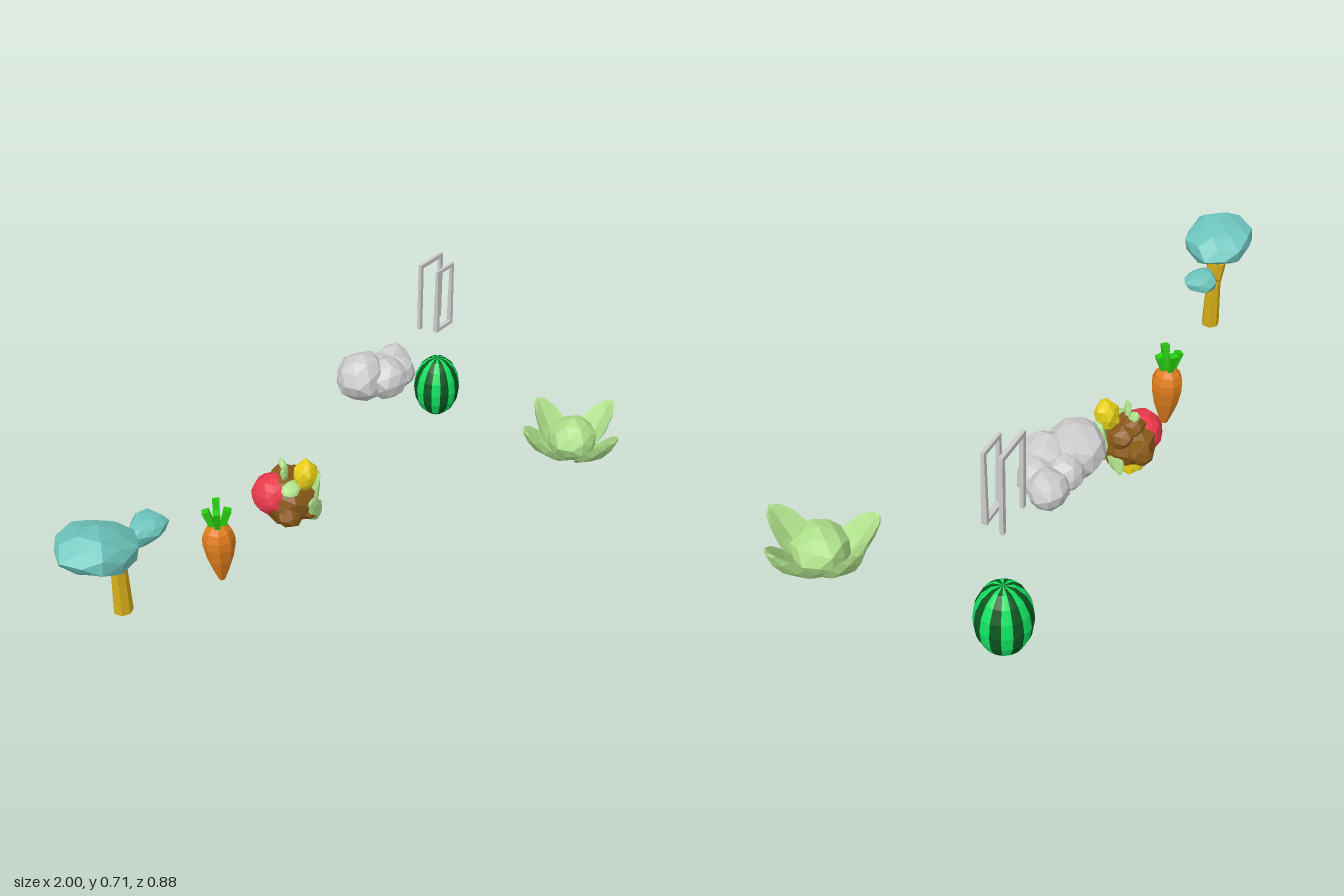
import * as THREE from 'three';

const V = (x, y, z) => new THREE.Vector3(x, y, z);
const mat = color => new THREE.MeshStandardMaterial({ color, flatShading: true, roughness: 0.9 });
const TEAL = mat(0x6cc4bc), BARK = mat(0xd4ac18), ORANGE = mat(0xe07d1c), SPROUT = mat(0x28cc10);
const RED = mat(0xe8384a), YELLOW = mat(0xe8d018), BROWN = mat(0x8a5a18), LETTUCE = mat(0xaee08a);
const RIND = mat(0x12e060), STRIPE = mat(0x0b5520), GREY = mat(0xcccccc);

function add(parent, name, geo, material, pos = [0, 0, 0], rot = [0, 0, 0]) {
  const mesh = new THREE.Mesh(geo, material);
  mesh.name = name;
  mesh.position.set(...pos);
  mesh.rotation.set(...rot);
  parent.add(mesh);
  return mesh;
}

function group(parent, name, x = 0, y = 0, z = 0) {
  const g = new THREE.Group();
  g.name = name;
  g.position.set(x, y, z);
  parent.add(g);
  return g;
}

// Move every vertex of a geometry by a rule
function warp(geo, rule) {
  const p = geo.attributes.position, v = V(0, 0, 0);
  for (let i = 0; i < p.count; i++) {
    v.fromBufferAttribute(p, i);
    rule(v);
    p.setXYZ(i, v.x, v.y, v.z);
  }
  geo.computeVertexNormals();
  return geo;
}

// Irregular faceted lump; the jitter depends only on position so seams stay closed
function lump(rx, ry, rz, seed = 0, rough = 0.14, detail = 1) {
  return warp(new THREE.IcosahedronGeometry(1, detail), v => {
    const h = Math.sin(v.x * 12.9 + v.y * 37.7 + v.z * 23.3 + seed * 7.1) * rough;
    v.multiplyScalar(1 - rough * 0.4 + h);
    v.set(v.x * rx, v.y * ry, v.z * rz);
  });
}

// Tapered limb between two points
function limb(parent, name, a, b, r0, r1, material, sides = 6) {
  const d = b.clone().sub(a);
  const mesh = add(parent, name, new THREE.CylinderGeometry(r1, r0, d.length(), sides), material);
  mesh.position.copy(a).addScaledVector(d, 0.5);
  mesh.quaternion.setFromUnitVectors(V(0, 1, 0), d.normalize());
}

// Thick, cupped, pointed leaf that rises outward along +x from the plant's centre
function cuppedLeaf(r0, r1, y0, y1, width, thick, cup) {
  const n = V(y0 - y1, r1 - r0, 0).normalize();
  return warp(new THREE.SphereGeometry(1, 8, 6), v => {
    const t = (v.y + 1) / 2, w = v.x;
    const off = v.z * thick + cup * w * w - 0.02 * Math.sin(Math.PI * t);
    v.set(r0 + (r1 - r0) * t + n.x * off, y0 + (y1 - y0) * t + n.y * off, w * width * (1.15 - 0.35 * t));
  });
}

function tree(root) {
  const g = group(root, 'tree', 0, 0, -0.345);
  limb(g, 'trunk', V(-0.79, 0.16, 0), V(-0.785, 0.34, 0), 0.031, 0.025, BARK, 7);
  limb(g, 'trunkFork', V(-0.785, 0.33, 0), V(-0.8, 0.41, 0), 0.025, 0.034, BARK, 7);
  limb(g, 'branch', V(-0.785, 0.352, 0), V(-0.69, 0.39, 0.002), 0.024, 0.015, BARK);
  add(g, 'largeCanopy', lump(0.132, 0.072, 0.12, 2, 0.08), TEAL, [-0.869, 0.463, 0.021], [0, 0, -0.2]);
  const small = warp(lump(0.076, 0.042, 0.071, 5, 0.07), v => { v.z *= 0.75 + v.x * 7; });
  add(g, 'smallCanopy', small, TEAL, [-0.679, 0.402, 0.008], [0, 0.15, 0.17]);
}

function carrot(root) {
  const g = group(root, 'carrot', -0.37, 0, -0.345);
  const profile = [[0, 0], [0.011, 0.002], [0.026, 0.04], [0.044, 0.095], [0.054, 0.15],
    [0.053, 0.18], [0.043, 0.208], [0.026, 0.226], [0, 0.226]].map(p => new THREE.Vector2(...p));
  add(g, 'carrotRoot', new THREE.LatheGeometry(profile, 8), ORANGE);
  for (let i = 0; i < 4; i++) {
    const a = Math.PI / 4 + i * Math.PI / 2, c = Math.cos(a), s = Math.sin(a);
    limb(g, 'carrotTop', V(c * 0.014, 0.215, s * 0.014), V(c * 0.036, 0.285 + (i % 2) * 0.017, s * 0.036),
      0.012, 0.017, SPROUT, 4);
  }
}

function foodPile(root) {
  const g = group(root, 'foodPile');
  add(g, 'pileCore', lump(0.092, 0.1, 0.102, 3, 0.08), BROWN, [-0.045, 0.15, -0.34]);
  add(g, 'tomato', lump(0.074, 0.074, 0.074, 1, 0.03, 2), RED, [-0.081, 0.172, -0.366]);
  add(g, 'upperYellowPiece', lump(0.042, 0.064, 0.042, 4, 0.1), YELLOW, [-0.018, 0.25, -0.277], [0.2, 0, -0.1]);
  add(g, 'lowerYellowPiece', lump(0.05, 0.046, 0.05, 6, 0.08), YELLOW, [-0.02, 0.093, -0.36]);
  // Brown chunks around the core
  [[0.008, 0.16, -0.398], [-0.02, 0.12, -0.275], [-0.09, 0.12, -0.29], [0.008, 0.2, -0.34], [-0.03, 0.22, -0.36]]
    .forEach((p, i) => add(g, 'brownChunk', lump(0.042, 0.045, 0.045, i, 0.1), BROWN, p));
  // Salad leaves: position, half sizes, rotation
  [[[0.022, 0.17, -0.275], [0.018, 0.085, 0.035], [0.1, -0.5, -0.1]],
    [[-0.01, 0.12, -0.245], [0.035, 0.065, 0.014], [0.15, 0, 0.4]],
    [[0.03, 0.13, -0.33], [0.014, 0.06, 0.03], [0.4, 0, 0.2]],
    [[-0.06, 0.255, -0.33], [0.022, 0.035, 0.012], [0, 0.5, 0.4]],
    [[-0.03, 0.255, -0.36], [0.02, 0.035, 0.014], [-0.4, 0.9, -0.3]],
    [[-0.075, 0.22, -0.29], [0.04, 0.016, 0.03], [0.5, 0, 0.3]],
    [[-0.07, 0.09, -0.3], [0.03, 0.04, 0.02], [0.4, -0.6, 0]]]
    .forEach(([p, s, r], i) => add(g, 'saladLeaf', lump(...s, i, 0.1), LETTUCE, p, r));
}

function rocks(root) {
  const g = group(root, 'rockCluster');
  [[0.374, 0.42, -0.345, 0.09], [0.43, 0.412, -0.28, 0.076], [0.47, 0.405, -0.355, 0.058],
    [0.51, 0.396, -0.287, 0.061], [0.55, 0.4, -0.342, 0.064]]
    .forEach(([x, y, z, r], i) => add(g, 'rock', lump(r, r, r, i + 1, 0.06), GREY, [x, y, z], [i, i * 2, 0]));
}

function doorway(root) {
  // Open-bottomed surround
  const frame = group(root, 'doorFrame', 0.765, 0, -0.342);
  for (const s of [-1, 1])
    add(frame, 'frameLeg', new THREE.BoxGeometry(0.015, 0.255, 0.012), GREY, [s * 0.058, 0.5875, 0]);
  add(frame, 'frameTop', new THREE.BoxGeometry(0.131, 0.015, 0.012), GREY, [0, 0.7075, 0]);
  // Closed rectangular panel frame, thinner towards its top
  const door = group(root, 'doorPanel', 0.768, 0, -0.283);
  const rect = (w, y0, y1) => [[-w, y0], [w, y0], [w, y1], [-w, y1]].map(p => new THREE.Vector2(...p));
  const outer = new THREE.Shape(rect(0.048, 0.46, 0.7));
  outer.holes.push(new THREE.Path(rect(0.035, 0.473, 0.687).reverse()));
  const geo = new THREE.ExtrudeGeometry(outer, { depth: 1, bevelEnabled: false });
  add(door, 'panelRim', warp(geo, v => { v.z = (v.z - 0.5) * (0.018 - (v.y - 0.46) * 0.035); }), GREY);
}

function watermelon(root) {
  const g = group(root, 'watermelon', 0.83, 0.158, -0.345);
  const step = Math.PI / 8;
  // Sixteen alternating wedges; a seam faces +x
  for (let i = 0; i < 16; i++) {
    const wedge = new THREE.SphereGeometry(1, 1, 8, i * step, step);
    wedge.scale(0.086, 0.122, 0.086);
    add(g, i % 2 ? 'lightStripe' : 'darkStripe', wedge, i % 2 ? RIND : STRIPE);
  }
}

function cabbage(root) {
  const g = group(root, 'cabbage', 0.83, 0, 0.25);
  add(g, 'cabbageHeart', lump(0.088, 0.085, 0.088, 2, 0.06), LETTUCE, [0, 0.165, 0]);
  // Turn about the centre, reach, tip height and half width of each leaf
  [[-0.34, 0.178, 0.266, 0.062], [1.4, 0.175, 0.255, 0.064], [2.45, 0.185, 0.228, 0.07], [-1.66, 0.185, 0.245, 0.064]]
    .forEach(([turn, reach, top, width]) =>
      add(g, 'cabbageLeaf', cuppedLeaf(0.035, reach, 0.085, top, width, 0.014, 0.035), LETTUCE, [0, 0, 0], [0, turn, 0]));
}

export function createModel() {
  const root = new THREE.Group();
  root.name = 'gardenSet';
  [tree, carrot, foodPile, rocks, doorway, watermelon, cabbage].forEach(build => build(root));
  return root;
}
